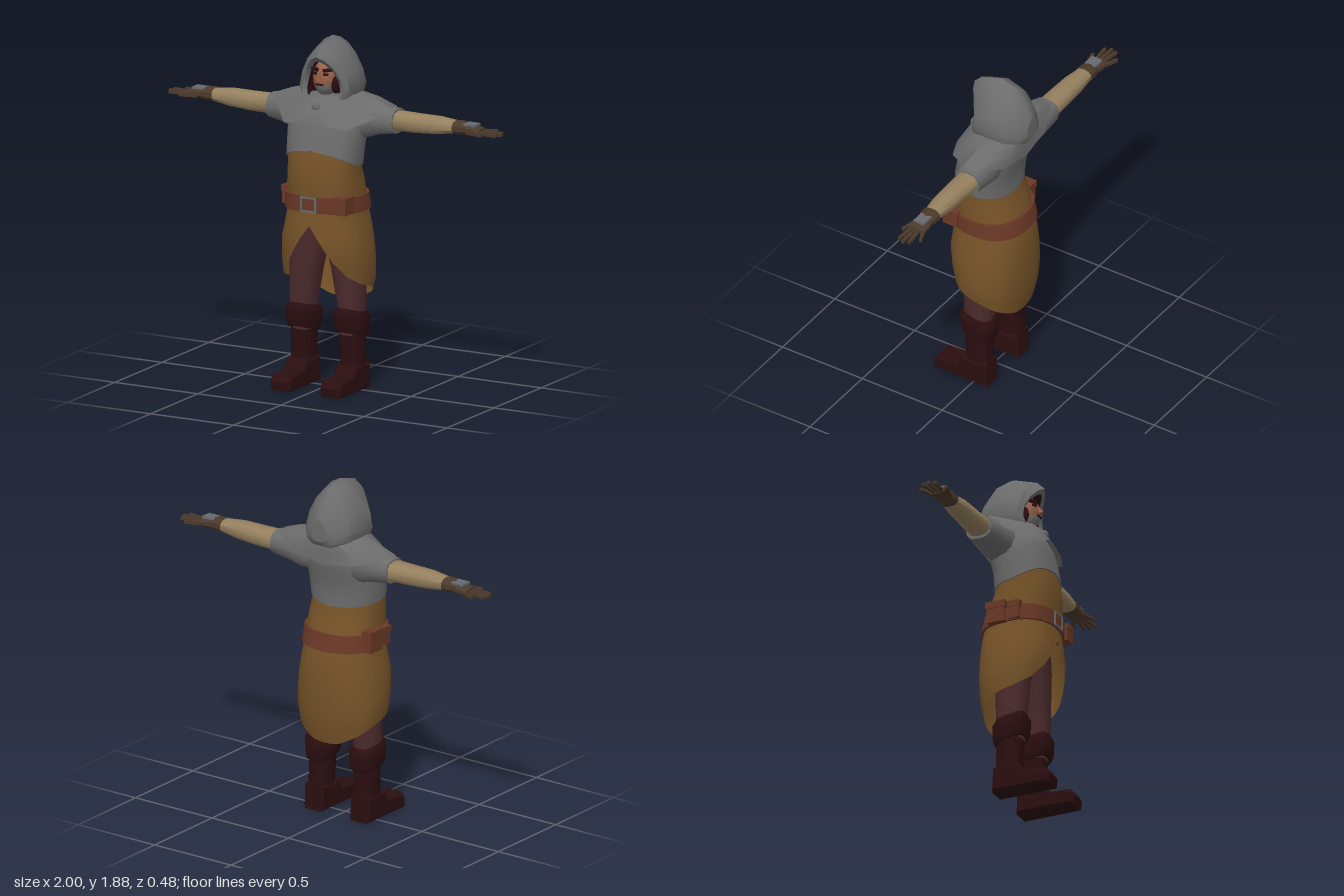
import * as THREE from 'three';
import { toCreasedNormals } from 'three/addons/utils/BufferGeometryUtils.js';

const mat = (name, color, side = THREE.FrontSide) =>
  Object.assign(new THREE.MeshStandardMaterial({ color, side }), { name });

// Skin a list of closed rings of [x, y, z]; faces are turned outward by signed volume.
function loft(rings, caps = true, crease = 0.7) {
  const n = rings[0].length, pos = rings.flat(2), idx = [];
  const quadRow = (i) => {
    for (let j = 0; j < n; j++) {
      const a = i * n + j, b = i * n + (j + 1) % n;
      idx.push(a, b, b + n, a, b + n, a + n);
    }
  };
  for (let i = 0; i < rings.length - 1; i++) quadRow(i);
  if (caps) [0, rings.length - 1].forEach((r, k) => {
    const c = pos.length / 3;
    for (let d = 0; d < 3; d++) pos.push(rings[r].reduce((s, p) => s + p[d], 0) / n);
    for (let j = 0; j < n; j++) {
      const a = r * n + j, b = r * n + (j + 1) % n;
      if (k) idx.push(a, b, c); else idx.push(b, a, c);
    }
  });
  const mid = [0, 1, 2].map((d) => rings.flat().reduce((s, p) => s + p[d], 0) / (n * rings.length));
  const at = (i) => new THREE.Vector3(pos[3 * i] - mid[0], pos[3 * i + 1] - mid[1], pos[3 * i + 2] - mid[2]);
  let volume = 0;
  for (let i = 0; i < idx.length; i += 3) volume += at(idx[i]).dot(at(idx[i + 1]).cross(at(idx[i + 2])));
  if (volume < 0) idx.reverse();
  const g = new THREE.BufferGeometry();
  g.setAttribute('position', new THREE.Float32BufferAttribute(pos, 3));
  g.setIndex(idx);
  return toCreasedNormals(g, crease);
}

// Piecewise linear lookup in rows of [key, values...]
function lookup(rows, k) {
  let i = 0;
  while (i < rows.length - 2 && k > rows[i + 1][0]) i++;
  const [a, b] = [rows[i], rows[i + 1]];
  const f = THREE.MathUtils.clamp((k - a[0]) / (b[0] - a[0]), 0, 1);
  return a.slice(1).map((v, j) => v + (b[j + 1] - v) * f);
}

const pow = (v, e) => Math.sign(v) * Math.abs(v) ** e;
const around = (n, fn) => Array.from({ length: n }, (_, j) => fn((j / n) * Math.PI * 2));

// Body outline: height, half width, front z, back z
const BODY = [
  [0.44, 0.18, 0.1, -0.185], [0.5, 0.22, 0.13, -0.2], [0.6, 0.248, 0.17, -0.21], [0.7, 0.248, 0.195, -0.215],
  [0.8, 0.24, 0.21, -0.215], [0.9, 0.22, 0.2, -0.21], [1.0, 0.2, 0.187, -0.19], [1.1, 0.203, 0.195, -0.165],
  [1.2, 0.195, 0.193, -0.125], [1.3, 0.202, 0.175, -0.13], [1.4, 0.208, 0.155, -0.155],
  [1.47, 0.2, 0.135, -0.165], [1.53, 0.14, 0.1, -0.16], [1.58, 0.09, 0.07, -0.14]];

function bodyPoint(t, y, off) {
  const [hw, zf, zb] = lookup(BODY, y);
  return [(hw + off) * pow(Math.sin(t), 0.85), y,
    (zf + zb) / 2 + ((zf - zb) / 2 + off) * pow(Math.cos(t), 0.85)];
}
const fromFront = (t) => Math.min(t, Math.PI * 2 - t);

// Garment around the body between two edges that vary with the angle from the front
function garment(lower, upper, off, steps) {
  return Array.from({ length: steps + 1 }, (_, i) => around(40, (t) => {
    const a = fromFront(t), lo = lookup(lower, a)[0], hi = lookup(upper, a)[0];
    return bodyPoint(t, lo + (hi - lo) * i / steps, off);
  }));
}

// Limbs: rows along x are [x, y, z, ry, rz]; rows along y are [y, x, z, rx, rz]
const armLoft = (s, rows, n = 10) => loft(rows.map(([x, y, z, ry, rz]) =>
  around(n, (t) => [x * s, y + ry * pow(Math.cos(t), 0.8), z + rz * pow(Math.sin(t), 0.8)])));
const legLoft = (s, rows, tilt = 0, e = 0.75) => loft(rows.map(([y, x, z, rx, rz]) =>
  around(12, (t) => [s * (x + rx * pow(Math.sin(t), e)), y + tilt * Math.cos(t), z + rz * pow(Math.cos(t), e)])));

const mirrorRing = (half) => [...half, ...half.slice(1, -1).reverse().map(([x, y, z]) => [-x, y, z])];

export function createModel() {
  const root = new THREE.Group();
  root.name = 'hoodedMan';
  const cloth = mat('grey cloth', 0x6c6c6c, THREE.DoubleSide);
  const ochre = mat('ochre tunic', 0x765328, THREE.DoubleSide);
  const linen = mat('linen sleeve', 0x96815f);
  const leather = mat('belt leather', 0x6a3826);
  const boot = mat('dark boot', 0x2b0e10, THREE.DoubleSide);
  const trouser = mat('maroon trousers', 0x4c2b2d);
  const glove = mat('glove brown', 0x4b3a2b);
  const skin = mat('skin', 0x98614a);
  const grey = mat('grey beard', 0x777472);
  const metal = mat('metal', 0x666a6e);

  const add = (name, geo, material, x = 0, y = 0, z = 0) => {
    const m = new THREE.Mesh(geo, material);
    m.name = name;
    m.position.set(x, y, z);
    root.add(m);
    return m;
  };
  const box = (name, w, h, d, m, x, y, z) => add(name, new THREE.BoxGeometry(w, h, d), m, x, y, z);

  // Tunic with an open front and long back
  const hem = [[0, 0.9], [0.2, 0.82], [0.45, 0.72], [0.8, 0.63], [1.2, 0.585], [1.6, 0.56], [2.2, 0.5], [2.75, 0.445], [Math.PI, 0.44]];
  add('tunic', loft(garment(hem, [[0, 1.33], [Math.PI, 1.25]], 0, 10), false), ochre);
  // Jerkin
  add('jerkin', loft(garment([[0, 1.3], [0.6, 1.28], [1.57, 1.215], [Math.PI, 1.19]], [[0, 1.58], [Math.PI, 1.58]], 0.007, 7)), cloth);

  // Belt with its thickness
  const lowBelt = [[0, 0.975], [Math.PI, 0.96]], topBelt = [[0, 1.06], [Math.PI, 1.05]];
  const [bi, ti] = garment(lowBelt, topBelt, -0.01, 1), [bo, to] = garment(lowBelt, topBelt, 0.014, 1);
  add('belt', loft([bi, bo, to, ti], false, 0.5), leather);
  const frame = new THREE.Shape([[-0.05, -0.042], [0.045, -0.042], [0.045, 0.042], [-0.05, 0.042]].map((p) => new THREE.Vector2(...p)));
  frame.holes.push(new THREE.Path([[-0.04, -0.032], [-0.04, 0.032], [0.035, 0.032], [0.035, -0.032]].map((p) => new THREE.Vector2(...p))));
  add('buckle', new THREE.ExtrudeGeometry(frame, { depth: 0.012, bevelEnabled: false }), metal, 0, 1.017, 0.197);

  // Pouches
  for (const [w, h, d, x, z] of [[0.065, 0.09, 0.09, 0.178, 0.143], [0.05, 0.115, 0.1, -0.215, -0.05], [0.045, 0.095, 0.06, -0.208, 0.05]]) {
    box('pouch', w, h, d, leather, x, 1.02, z);
    box('pouchFlap', w + 0.01, h * 0.35, d + 0.01, leather, x, 1.02 + h * 0.36, z);
  }

  // Shoulder cape
  const neck = [[0, 1.57, 0.1], [0.06, 1.575, 0.085], [0.11, 1.58, 0.05], [0.135, 1.585, 0], [0.14, 1.585, -0.06], [0.13, 1.58, -0.12], [0.08, 1.57, -0.18], [0, 1.57, -0.2]];
  const edge = [[0, 1.5, 0.15], [0.1, 1.442, 0.17], [0.19, 1.425, 0.138], [0.28, 1.47, 0.03], [0.36, 1.525, -0.04], [0.345, 1.52, -0.13], [0.2, 1.47, -0.188], [0, 1.44, -0.2]];
  const middle = neck.map((p, i) => p.map((v, d) => (v + edge[i][d]) / 2 + (d === 1 ? 0.012 : 0)));
  add('cape', loft([edge, middle, neck].map(mirrorRing), false), cloth);
  const brooch = add('brooch', new THREE.SphereGeometry(0.028, 10, 8), metal, 0, 1.528, 0.125);
  brooch.scale.z = 0.7;

  // Hood: teardrop rings from the opening to the back; [top z, bottom z, centre y, half width, half height, bow]
  const drop = [[0, 1], [0.32, 0.84], [0.62, 0.5], [0.88, 0], [1, -0.5], [0.9, -0.8], [0.5, -1], [0, -1]];
  const hoodRing = ([zt, zb, cy, hw, hh, bow]) => mirrorRing(drop.map(([u, v]) =>
    [u * hw, cy + v * hh, zb + (zt - zb) * (v + 1) / 2 - bow * (1 - v * v)]));
  const opening = [0.105, 0.07, 1.66, 0.1, 0.11, 0.045];
  add('hood', loft([
    opening, [0.125, 0.08, 1.668, 0.125, 0.128, 0.045], [0.08, 0.04, 1.69, 0.15, 0.15, 0.02],
    [-0.05, -0.06, 1.71, 0.16, 0.17, 0], [-0.13, -0.16, 1.7, 0.145, 0.155, 0],
    [-0.2, -0.215, 1.665, 0.1, 0.115, 0], [-0.235, -0.235, 1.64, 0.045, 0.06, 0]].map(hoodRing), false), cloth);
  add('hoodBack', loft([[-0.225, -0.225, 1.64, 0.045, 0.06, 0], [-0.235, -0.235, 1.64, 0.046, 0.061, 0]].map(hoodRing)), cloth);
  add('hoodLining', loft([opening, [0, 0, 1.66, 0.095, 0.105, 0], [-0.03, -0.03, 1.66, 0.05, 0.06, 0]].map(hoodRing), false), boot);

  // Head
  const ball = (name, m, x, y, z, sx, sy, sz, from = 0) => {
    const b = add(name, new THREE.SphereGeometry(1, 16, 12, 0, Math.PI * 2, from, Math.PI - from), m, x, y, z);
    b.scale.set(sx, sy, sz);
  };
  ball('head', skin, 0, 1.67, 0.01, 0.072, 0.1, 0.08);
  ball('beard', grey, 0, 1.665, 0.012, 0.065, 0.098, 0.086, Math.PI * 0.58);
  const nose = add('nose', new THREE.ConeGeometry(0.018, 0.06, 4), skin, 0, 1.685, 0.092);
  nose.rotation.x = -0.35;
  box('mouth', 0.045, 0.008, 0.008, boot, 0, 1.641, 0.093);

  for (const s of [1, -1]) {
    box('eyebrow', 0.05, 0.016, 0.02, boot, s * 0.036, 1.718, 0.069).rotation.set(0, s * 0.4, s * 0.12);
    box('eye', 0.026, 0.012, 0.009, boot, s * 0.032, 1.697, 0.08).rotation.y = s * 0.4;
    ball('sideburn', boot, s * 0.06, 1.64, 0.015, 0.022, 0.055, 0.045);

    // Arms
    add('sleeve', armLoft(s, [[0.1, 1.44, -0.04, 0.1, 0.09], [0.2, 1.445, -0.055, 0.095, 0.1], [0.28, 1.455, -0.07, 0.08, 0.09], [0.38, 1.455, -0.08, 0.066, 0.075]], 12), cloth);
    add('forearm', armLoft(s, [[0.36, 1.458, -0.08, 0.054, 0.066], [0.5, 1.458, -0.08, 0.052, 0.062], [0.62, 1.462, -0.082, 0.048, 0.058], [0.76, 1.465, -0.085, 0.03, 0.042]]), linen);
    add('gloveCuff', armLoft(s, [[0.725, 1.465, -0.085, 0.036, 0.052], [0.765, 1.465, -0.085, 0.036, 0.05], [0.8, 1.463, -0.085, 0.028, 0.042]]), glove);
    add('hand', armLoft(s, [[0.78, 1.463, -0.085, 0.027, 0.042], [0.83, 1.462, -0.085, 0.026, 0.053], [0.88, 1.456, -0.085, 0.016, 0.05]]), glove);
    box('handPlate', 0.075, 0.012, 0.065, metal, s * 0.815, 1.488, -0.085);
    for (const [x0, z0, x1, z1] of [[0.865, -0.125, 0.94, -0.152], [0.87, -0.1, 0.99, -0.113], [0.87, -0.08, 1, -0.08], [0.87, -0.058, 0.985, -0.048], [0.81, -0.04, 0.91, -0.02]]) {
      const f = box('finger', Math.hypot(x1 - x0, z1 - z0), 0.017, 0.016, glove, s * (x0 + x1) / 2, 1.453, (z0 + z1) / 2);
      f.rotation.y = -s * Math.atan2(z1 - z0, x1 - x0);
    }

    // Legs and boots
    add('trouserLeg', legLoft(s, [[0.3, 0.14, 0, 0.06, 0.07], [0.45, 0.145, 0, 0.068, 0.08], [0.65, 0.125, 0, 0.085, 0.088], [0.8, 0.1, 0, 0.1, 0.1], [0.95, 0.09, 0, 0.09, 0.1]]), trouser);
    add('bootShaft', legLoft(s, [[0.05, 0.15, -0.01, 0.058, 0.073], [0.15, 0.15, -0.008, 0.057, 0.068], [0.34, 0.142, -0.005, 0.062, 0.068]], 0, 0.6), boot);
    add('bootCuff', legLoft(s, [[0.295, 0.146, 0, 0.072, 0.085], [0.32, 0.144, 0, 0.08, 0.093], [0.4, 0.142, 0, 0.086, 0.096], [0.425, 0.142, 0, 0.074, 0.085]], 0.024, 0.65), boot);
    const side = new THREE.Shape([[-0.087, 0], [0.24, 0], [0.246, 0.05], [0.225, 0.085], [0.1, 0.092], [0.065, 0.14], [-0.08, 0.14]].map((p) => new THREE.Vector2(...p)));
    const foot = new THREE.ExtrudeGeometry(side, { depth: 0.1, bevelSize: 0.012, bevelThickness: 0.012, bevelOffset: -0.012, bevelSegments: 1 });
    foot.translate(0, 0, -0.05).rotateY(-Math.PI / 2);
    add('bootFoot', foot, boot, s * 0.15, 0, 0);
  }
  return root;
}
